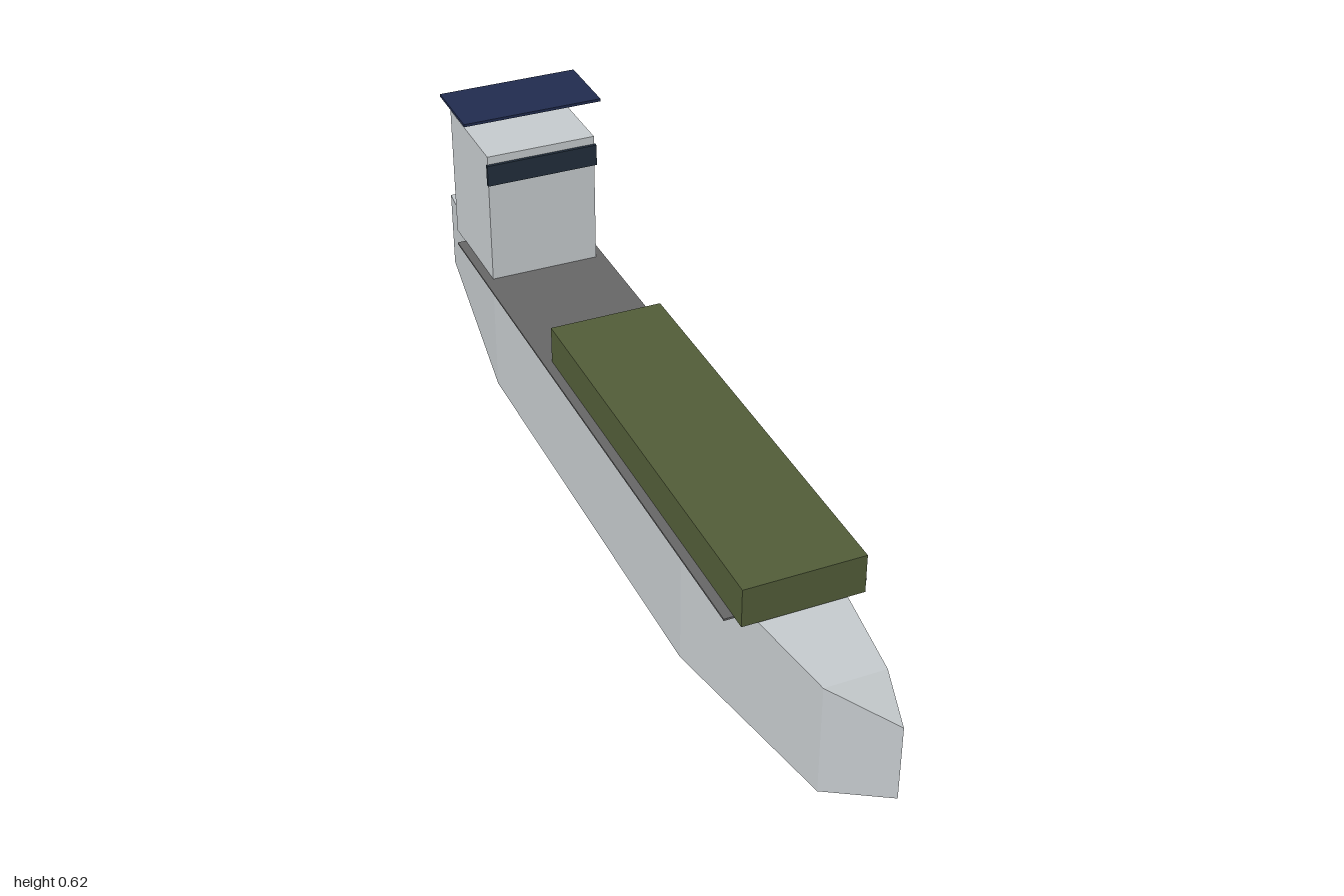
import * as THREE from 'three';

const mat = (name, color, extra = {}) => new THREE.MeshStandardMaterial({ name, color, ...extra });

// Hull skin lofted through rectangular sections [z, halfWidth, bottom, top], bow to stern
function hullGeometry(sections) {
  const rings = sections.map(([z, w, b, t]) =>
    [[-w, b], [w, b], [w, t], [-w, t]].map(([x, y]) => new THREE.Vector3(x, y, z)));
  const pos = [];
  const tri = (...p) => {
    if (new THREE.Triangle(...p).getArea() > 1e-6) p.forEach(v => pos.push(v.x, v.y, v.z));
  };
  const quad = (a, b, c, d) => { tri(a, b, c); tri(a, c, d); };
  for (let k = 0; k < rings.length - 1; k++) {
    for (let i = 0; i < 4; i++) {
      const j = (i + 1) % 4;
      quad(rings[k][i], rings[k + 1][i], rings[k + 1][j], rings[k][j]);
    }
  }
  const s = rings[rings.length - 1];
  quad(s[0], s[3], s[2], s[1]); // transom
  const g = new THREE.BufferGeometry();
  g.setAttribute('position', new THREE.Float32BufferAttribute(pos, 3));
  g.computeVertexNormals();
  return g;
}

export function createModel() {
  const model = new THREE.Group();
  model.name = 'cargoShip';
  const grey = mat('hullGrey', 0xc4c9cc);
  const deckGrey = mat('deckGrey', 0x656565);
  const olive = mat('cargoOlive', 0x515c38);
  const navy = mat('roofNavy', 0x202b4e);
  const glass = mat('windowDark', 0x212d3b);
  const bronze = mat('propellerOlive', 0x45482c);

  const add = (name, geometry, material) => {
    const m = new THREE.Mesh(geometry, material);
    m.name = name;
    model.add(m);
    return m;
  };
  // Box given by its minimum and maximum corners
  const box = (name, material, [x0, y0, z0], [x1, y1, z1]) =>
    add(name, new THREE.BoxGeometry(x1 - x0, y1 - y0, z1 - z0), material)
      .position.set((x0 + x1) / 2, (y0 + y1) / 2, (z0 + z1) / 2);

  add('hull', hullGeometry([
    [1, 0, 0.14, 0.295],
    [0.84, 0.06, 0.034, 0.268],
    [0.4, 0.12, 0.002, 0.268],
    [-0.595, 0.12, 0.002, 0.268],
    [-0.992, 0.08, 0.09, 0.268],
  ]), grey);

  box('deck', deckGrey, [-0.138, 0.267, -0.775], [0.138, 0.271, 0.62]);
  box('cargo', olive, [-0.119, 0.27, -0.245], [0.119, 0.351, 0.65]);

  // Bridge tower with window band and floating roof
  box('bridge', grey, [-0.119, 0.268, -0.832], [0.119, 0.565, -0.596]);
  box('bridgeWindow', glass, [-0.122, 0.5, -0.597], [0.122, 0.547, -0.589]);
  box('roof', navy, [-0.152, 0.621, -0.793], [0.152, 0.627, -0.638]);

  // Crossed propeller blades on the transom
  box('propellerBladeVertical', bronze, [-0.005, 0.073, -1], [0.005, 0.175, -0.991]);
  box('propellerBladeHorizontal', bronze, [-0.05, 0.119, -1], [0.05, 0.129, -0.991]);

  return model;
}
